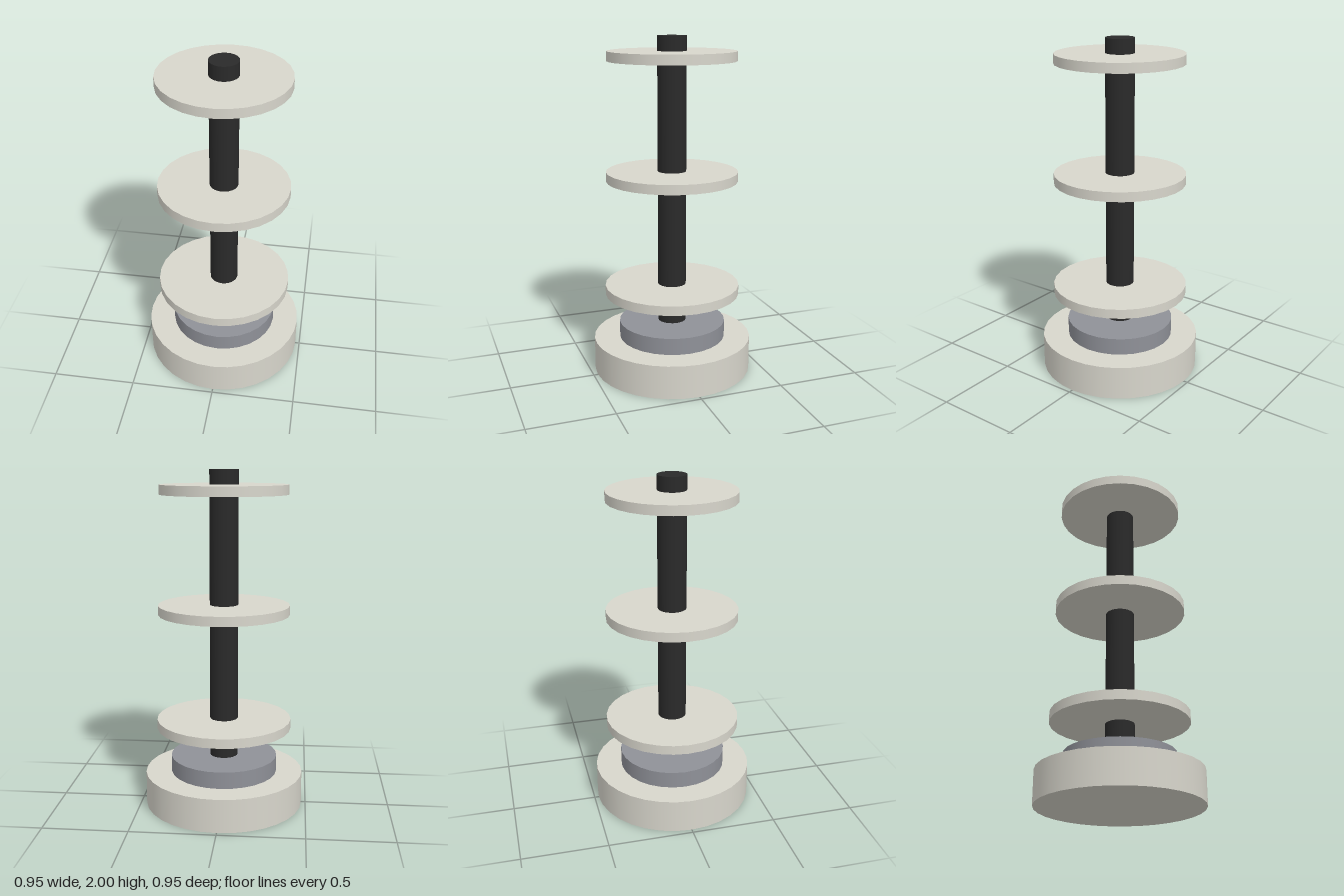
import * as THREE from 'three';

const ivory = new THREE.MeshStandardMaterial({ color: 0xd8d6cc });
ivory.name = 'ivory';
const grey = new THREE.MeshStandardMaterial({ color: 0x8f9198 });
grey.name = 'steel grey';
const black = new THREE.MeshStandardMaterial({ color: 0x2a2a2a });
black.name = 'black';

// Upright cylinder between two heights
function drum(name, radius, bottom, top, sides, material) {
  const mesh = new THREE.Mesh(
    new THREE.CylinderGeometry(radius, radius, top - bottom, sides), material);
  mesh.position.y = (bottom + top) / 2;
  mesh.name = name;
  return mesh;
}

export function createModel() {
  const model = new THREE.Group();
  model.name = 'tieredStand';

  // Foot, collar and central pole
  model.add(drum('base', 0.474, 0, 0.2, 32, ivory));
  model.add(drum('collar', 0.319, 0.2, 0.3, 28, grey));
  model.add(drum('pole', 0.084, 0.3, 2, 24, black));

  // Three discs, slightly smaller towards the top
  ['lowerDisc', 'middleDisc', 'upperDisc'].forEach((name, i) => {
    const y = 0.503 + i * 0.692;
    model.add(drum(name, 0.402 - i * 0.015, y - 0.028, y + 0.028, 28, ivory));
  });

  return model;
}
